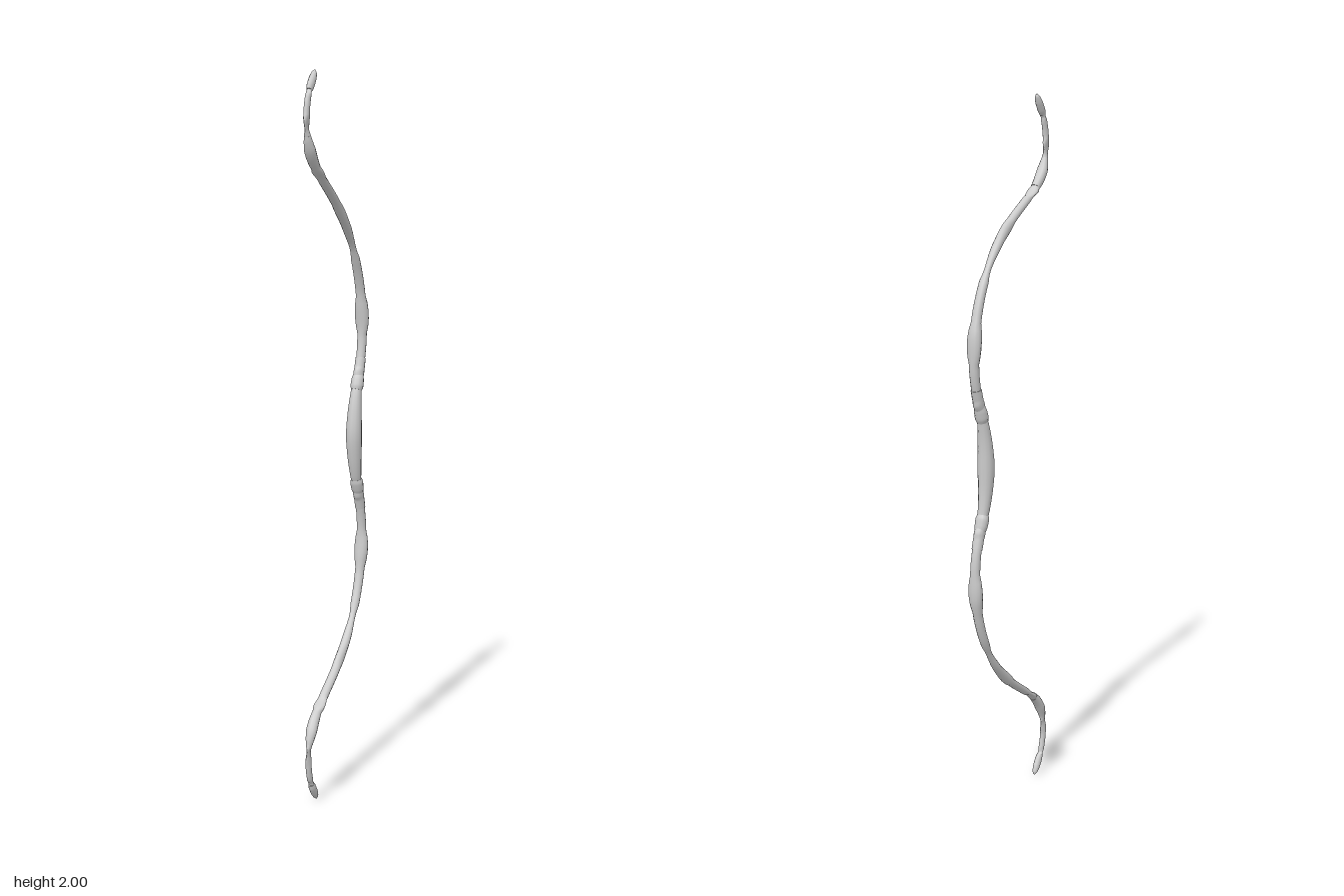
import * as THREE from 'three';

const material = new THREE.MeshStandardMaterial({ color: 0xcccccc });
const SIDES = 12;

// Sweep an oval section along a path in the yz plane.
// Each station is [z, y, half width in x, half depth across the path].
function sweep(name, stations, steps) {
  const path = new THREE.CatmullRomCurve3(stations.map(([z, y]) => new THREE.Vector3(0, y, z)));
  const radii = new THREE.CatmullRomCurve3(stations.map(([, , w, d]) => new THREE.Vector3(w, d, 0)));
  const pos = [], idx = [];
  const ring = (t) => {
    const p = path.getPoint(t), tan = path.getTangent(t), r = radii.getPoint(t);
    for (let j = 0; j < SIDES; j++) {
      const a = (j / SIDES) * Math.PI * 2;
      const n = Math.sin(a) * r.y;
      pos.push(Math.cos(a) * r.x, p.y + tan.z * n, p.z - tan.y * n);
    }
  };
  for (let i = 0; i <= steps; i++) ring(i / steps);
  for (let i = 0; i < steps; i++) {
    for (let j = 0; j < SIDES; j++) {
      const k = (j + 1) % SIDES, a = i * SIDES, b = a + SIDES;
      idx.push(a + j, a + k, b + k, a + j, b + k, b + j);
    }
  }
  // End caps with their own vertices, so the rims stay sharp
  for (const t of [0, 1]) {
    const start = pos.length / 3;
    ring(t);
    const p = path.getPoint(t);
    pos.push(0, p.y, p.z);
    for (let j = 0; j < SIDES; j++) {
      const k = (j + 1) % SIDES;
      idx.push(start + SIDES, start + (t ? j : k), start + (t ? k : j));
    }
  }
  const geo = new THREE.BufferGeometry();
  geo.setAttribute('position', new THREE.Float32BufferAttribute(pos, 3));
  geo.setIndex(idx);
  geo.computeVertexNormals();
  const mesh = new THREE.Mesh(geo, material);
  mesh.name = name;
  return mesh;
}

// Parts of the upper half, listed from the grip outwards
const parts = {
  Collar: [
    [-0.146, 1.130, 0.016, 0.016], [-0.150, 1.142, 0.019, 0.018],
    [-0.156, 1.160, 0.018, 0.017], [-0.161, 1.172, 0.015, 0.015],
  ],
  Sleeve: [
    [-0.156, 1.160, 0.015, 0.015], [-0.168, 1.190, 0.015, 0.015], [-0.177, 1.220, 0.015, 0.0145],
  ],
  Limb: [
    [-0.150, 1.140, 0.013, 0.013], [-0.176, 1.215, 0.013, 0.013], [-0.187, 1.290, 0.014, 0.013],
    [-0.176, 1.400, 0.014, 0.013], [-0.136, 1.505, 0.013, 0.012], [-0.076, 1.590, 0.013, 0.012],
    [0.000, 1.658, 0.013, 0.012], [0.085, 1.715, 0.013, 0.011], [0.130, 1.746, 0.013, 0.011],
    [0.162, 1.783, 0.012, 0.011],
  ],
  Joint: [
    [0.130, 1.746, 0.013, 0.012], [0.150, 1.766, 0.015, 0.014],
    [0.166, 1.788, 0.016, 0.014], [0.178, 1.812, 0.012, 0.012], [0.183, 1.826, 0.009, 0.010],
  ],
  Recurve: [
    [0.166, 1.788, 0.009, 0.010], [0.184, 1.830, 0.008, 0.010],
    [0.188, 1.880, 0.008, 0.010], [0.177, 1.930, 0.008, 0.009], [0.163, 1.955, 0.008, 0.009],
  ],
  Tip: [
    [0.170, 1.944, 0.008, 0.009], [0.162, 1.957, 0.010, 0.012],
    [0.150, 1.975, 0.010, 0.011], [0.140, 1.991, 0.007, 0.007], [0.137, 1.998, 0.002, 0.002],
  ],
};

export function createModel() {
  const group = new THREE.Group();
  group.name = 'recurveBow';

  // Swollen hand grip with a straight back and a bulging front
  group.add(sweep('grip', [
    [-0.148, 0.862, 0.014, 0.014], [-0.143, 0.880, 0.016, 0.016],
    [-0.134, 0.930, 0.020, 0.020], [-0.129, 1.000, 0.023, 0.024],
    [-0.134, 1.070, 0.020, 0.020], [-0.143, 1.120, 0.016, 0.016],
    [-0.148, 1.138, 0.014, 0.014],
  ], 30));

  // Upper half, then its mirror below (order reversed to keep faces outward)
  for (const [name, stations] of Object.entries(parts)) {
    const steps = (stations.length - 1) * 5;
    const lower = stations.map(([z, y, w, d]) => [z, 2 - y, w, d]).reverse();
    group.add(sweep('upper' + name, stations, steps));
    group.add(sweep('lower' + name, lower, steps));
  }
  return group;
}
